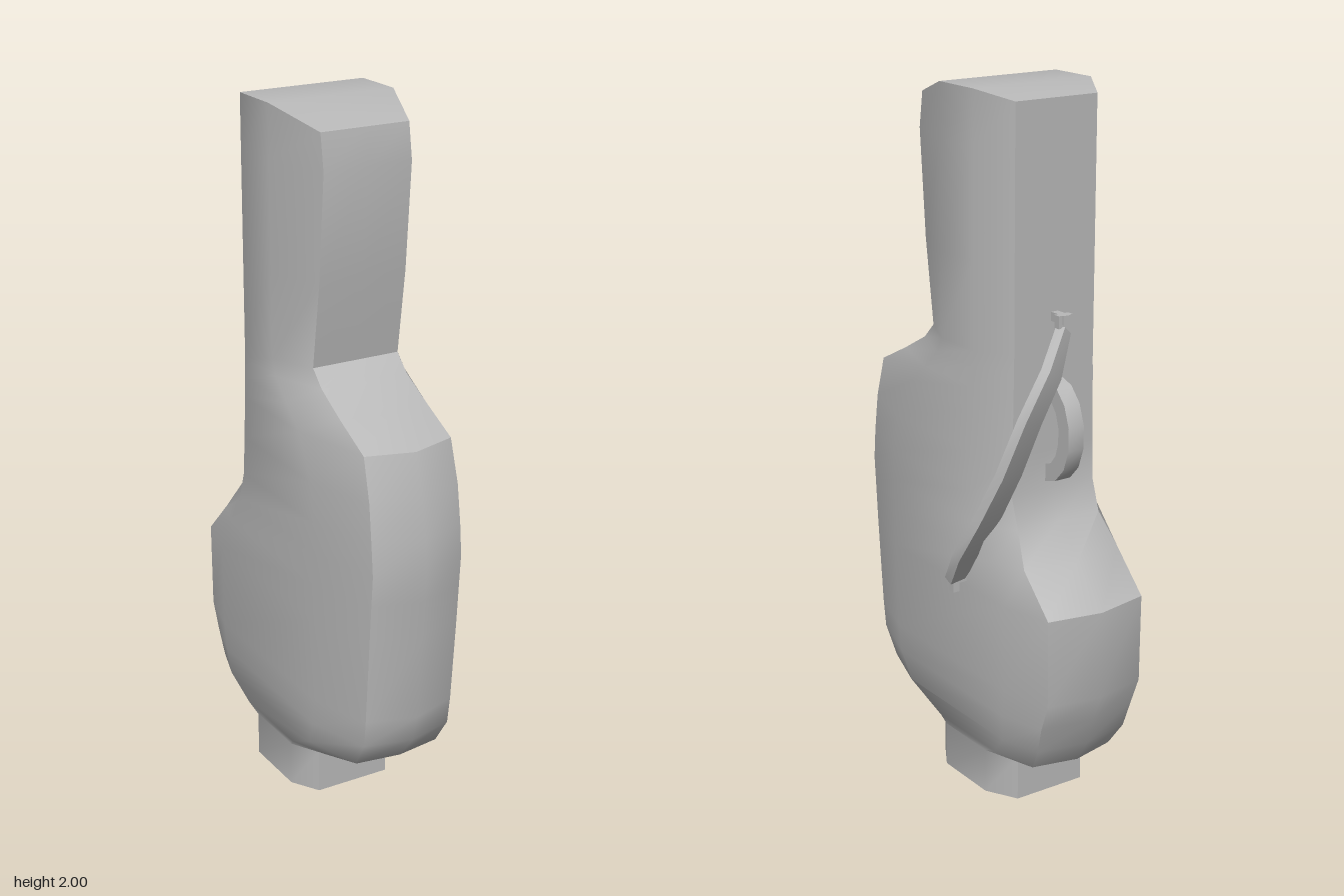
import * as THREE from 'three';
import { toCreasedNormals } from 'three/addons/utils/BufferGeometryUtils.js';

const CX = -0.04; // the body sits slightly off centre

// Skin a list of equal-length rings (each counter-clockwise about the path) and cap both ends
function loft(rings, crease) {
  const n = rings[0].length, pos = [], idx = [];
  rings.forEach(r => r.forEach(p => pos.push(...p)));
  const tri = (a, b, c) => { if (a !== b && b !== c && a !== c) idx.push(a, b, c); };
  for (let j = 0; j < rings.length - 1; j++) {
    for (let i = 0; i < n; i++) {
      const a = j * n + i, b = j * n + (i + 1) % n;
      tri(a, b, b + n);
      tri(a, b + n, a + n);
    }
  }
  const top = (rings.length - 1) * n;
  for (let i = 0; i < n / 2; i++) {
    const p = i, q = i + 1, r = n - i - 1, s = (n - i) % n;
    tri(top + p, top + q, top + r);
    tri(top + p, top + r, top + s);
    tri(p, r, q);
    tri(p, s, r);
  }
  const g = new THREE.BufferGeometry();
  g.setAttribute('position', new THREE.Float32BufferAttribute(pos, 3));
  g.setIndex(idx);
  return toCreasedNormals(g, crease);
}

// Ten-sided body section: front tip, front corner, two side corners, back corner, back tip
function section([y, zf, zb, hw, zB, zC, drop], last) {
  const back = zb < -0.3 ? 0.03 : 0;
  const half = [[0, zf], [hw * 0.7, zf - drop], [hw, zB], [hw, zC], [hw * (back ? 0.8 : 0.69), zb + back], [0, zb]];
  const slope = last ? [0.05, 0.05, 0, 0, 0.025, 0.025] : [0, 0, 0, 0, 0, 0];
  const right = half.map(([x, z], i) => [CX + x, y - slope[i], z]);
  const left = right.slice(1, 5).reverse().map(([x, h, z]) => [2 * CX - x, h, z]);
  return [...right, ...left];
}

export function createModel() {
  const model = new THREE.Group();
  const grey = new THREE.MeshStandardMaterial({ color: 0xb8b8b8 });
  grey.name = 'plain grey';
  const add = (geometry, name) => {
    const m = new THREE.Mesh(geometry, grey);
    m.name = name;
    model.add(m);
    return m;
  };
  const box = (name, w, h, d, x, y, z) => add(new THREE.BoxGeometry(w, h, d), name).position.set(x, y, z);

  // Body: height, front z, back z, half width, front side z, back side z, corner drop
  const rows = [
    [0, 0.11, -0.26, 0.16, 0.03, -0.17, 0],
    [0.13, 0.11, -0.26, 0.16, 0.03, -0.17, 0],
    [0.15, 0.17, -0.39, 0.165, 0.05, -0.22, 0],
    [0.22, 0.37, -0.435, 0.185, 0.18, -0.29, 0.02],
    [0.30, 0.435, -0.46, 0.193, 0.22, -0.3, 0.035],
    [0.38, 0.455, -0.49, 0.195, 0.23, -0.31, 0.045],
    [0.63, 0.475, -0.49, 0.197, 0.24, -0.31, 0.045],
    [0.74, 0.483, -0.38, 0.197, 0.24, -0.25, 0.045],
    [0.83, 0.49, -0.29, 0.197, 0.24, -0.19, 0.045],
    [0.92, 0.482, -0.26, 0.197, 0.24, -0.16, 0.045],
    [1.03, 0.463, -0.26, 0.195, 0.22, -0.155, 0.04],
    [1.15, 0.43, -0.26, 0.191, 0.15, -0.155, 0.04],
    [1.21, 0.30, -0.26, 0.19, 0.08, -0.155, 0.03],
    [1.265, 0.18, -0.26, 0.188, 0.02, -0.155, 0.01],
    [1.31, 0.125, -0.26, 0.188, 0, -0.155, 0],
    [1.55, 0.16, -0.26, 0.188, 0, -0.155, 0],
    [1.85, 0.185, -0.26, 0.188, 0, -0.155, 0],
    [2.0, 0.17, -0.26, 0.188, 0, -0.155, 0],
  ];
  add(loft(rows.map((r, i) => section(r, i === rows.length - 1)), 0.75), 'body');

  // Curved strap from the back of the neck round to the side: centre x, y, z and half width
  const path = [
    [-0.04, 1.37, -0.3, 0.018], [0.03, 1.27, -0.343, 0.034], [0.095, 1.15, -0.338, 0.04],
    [0.135, 1.0, -0.3, 0.042], [0.165, 0.86, -0.24, 0.045], [0.19, 0.75, -0.185, 0.044],
    [0.19, 0.66, -0.125, 0.026],
  ];
  const pts = path.map(p => new THREE.Vector3(p[0], p[1], p[2]));
  const strap = pts.map((c, i) => {
    const t = pts[Math.min(i + 1, pts.length - 1)].clone().sub(pts[Math.max(i - 1, 0)]).normalize();
    const w = new THREE.Vector3(0.87, 0.3, -0.35);
    w.addScaledVector(t, -w.dot(t)).normalize();
    const n = t.clone().cross(w).multiplyScalar(0.014);
    w.multiplyScalar(path[i][3]);
    return [[1, 1], [-1, 1], [-1, -1], [1, -1]].map(([a, b]) =>
      c.clone().addScaledVector(w, a).addScaledVector(n, b).toArray());
  });
  add(loft(strap, 0.7), 'strap');

  // Strap fixings
  box('upperStrapPin', 0.022, 0.025, 0.06, CX, 1.4, -0.285);
  box('upperStrapClip', 0.045, 0.035, 0.02, CX, 1.395, -0.3);
  box('lowerStrapPin', 0.05, 0.02, 0.02, 0.17, 0.655, -0.122);
  box('lowerStrapClip', 0.02, 0.04, 0.02, 0.19, 0.64, -0.122);

  // Curved thumb rest on the back
  const arc = new THREE.Shape();
  const steps = 7;
  const put = (k, rx, ry, first) => {
    const a = Math.PI / 2 - Math.PI * k / steps;
    arc[first ? 'moveTo' : 'lineTo'](rx * Math.cos(a), ry * Math.sin(a));
  };
  for (let k = 0; k <= steps; k++) put(k, 0.107, 0.145, k === 0);
  for (let k = steps; k >= 0; k--) put(k, 0.06, 0.095, false);
  const rest = new THREE.ExtrudeGeometry(arc, { depth: 0.05, bevelEnabled: false });
  rest.translate(0, 0, -0.025).rotateY(Math.PI / 2);
  add(toCreasedNormals(rest, 0.7), 'thumbRest').position.set(CX, 1.085, -0.258);

  return model;
}
